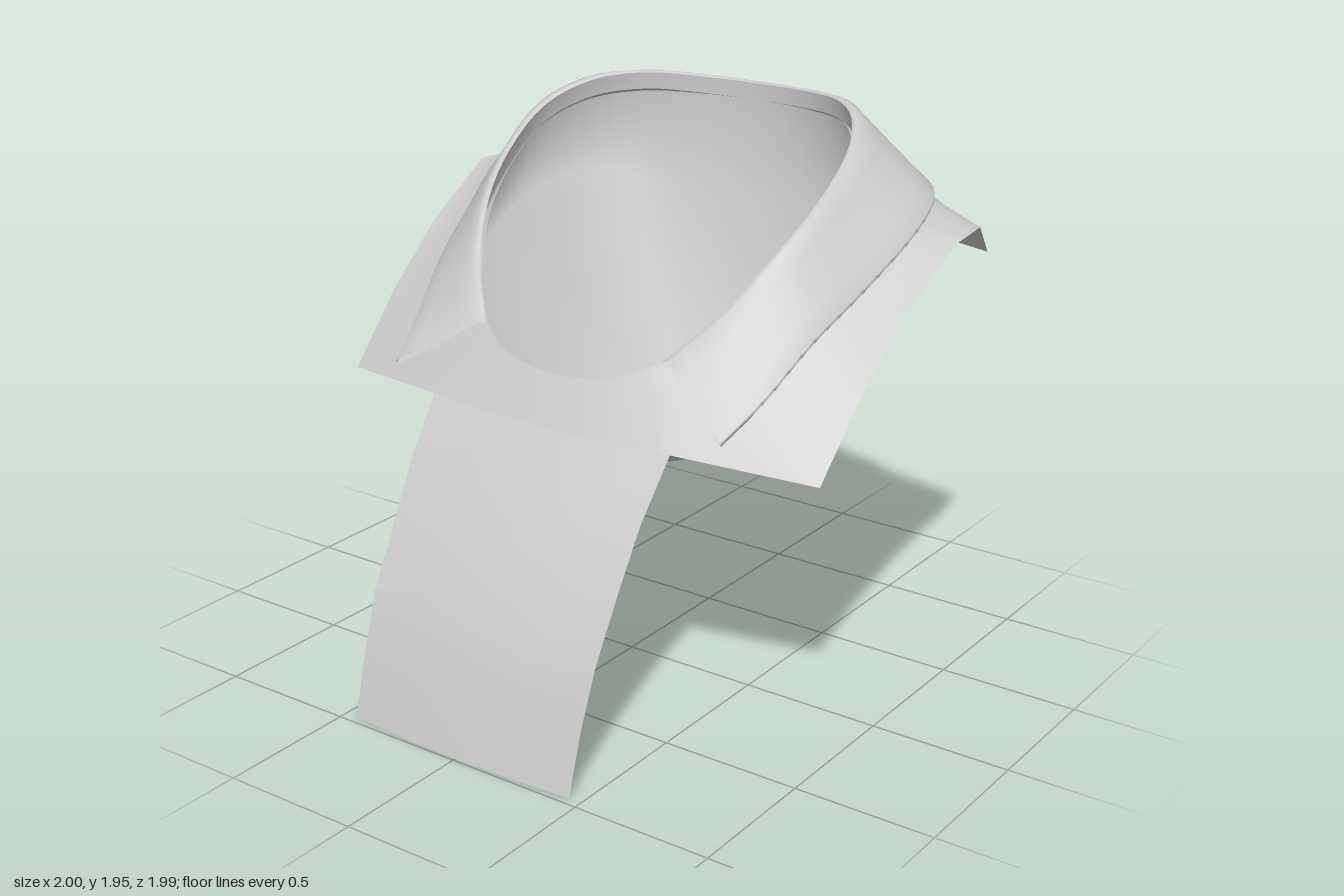
import * as THREE from 'three';

const V = (x, y, z) => new THREE.Vector3(x, y, z);
const vectors = list => list.map(p => V(...p));
const mix = (a, b, t, lift = 0) => a.clone().lerp(b, t).add(V(0, lift, 0));
const STEPS = 4; // subdivisions between stations

// Stations of the left half, from centre front to centre back:
// neck fold, lining ring below it, free collar edge, outer hem of the yoke
const fold = vectors([[0, 1.18, .43], [.2, 1.2, .41], [.36, 1.265, .34], [.49, 1.41, .21], [.59, 1.59, .04], [.635, 1.73, -.14],
  [.625, 1.86, -.34], [.54, 1.93, -.51], [.4, 1.95, -.65], [.2, 1.94, -.75], [0, 1.935, -.78]]);
const ring = vectors([[0, .88, .45], [.22, .9, .45], [.42, .98, .39], [.57, 1.14, .25], [.69, 1.33, .05], [.71, 1.43, -.14],
  [.71, 1.53, -.36], [.62, 1.56, -.55], [.45, 1.54, -.69], [.22, 1.525, -.76], [0, 1.52, -.78]]);
const edge = vectors([[.67, 1.1, .46], [.72, 1.2, .3], [.78, 1.36, .09], [.83, 1.48, -.12], [.875, 1.63, -.38],
  [.83, 1.7, -.58], [.66, 1.71, -.76], [.38, 1.69, -.88], [0, 1.66, -.93]]);
const hem = vectors([[0, 1.02, .515], [.25, 1.02, .505], [.49, 1.02, .475], [.965, .98, .345], [.975, 1.22, .12],
  [.985, 1.42, -.12], [1, 1.59, -.42], [.97, 1.59, -.65], [.88, 1.43, -.9], [.45, 1.45, -.985], [0, 1.46, -1]]);

const flip = p => V(-p.x, p.y, p.z);
// Mirror a half ring; a closed ring drops the doubled front point
const whole = (half, closed) => [...half, ...half.slice(closed ? 1 : 0, -1).reverse().map(flip)];

function smooth(points, closed) {
  const curve = new THREE.CatmullRomCurve3(points, closed, 'centripetal');
  const n = (closed ? points.length : points.length - 1) * STEPS;
  return Array.from({ length: closed ? n : n + 1 }, (_, i) => curve.getPoint(i / n));
}

function straight(points) {
  return points.flatMap((p, i) => Array.from({ length: STEPS },
    (_, k) => mix(p, points[(i + 1) % points.length], k / STEPS)));
}

// Skin a list of equally long rows of points, optionally fanned to a tip
function loft(name, rows, closed, material, tip) {
  const n = rows[0].length, index = [], points = rows.flat();
  const last = (rows.length - 1) * n;
  for (let i = 0; i < (closed ? n : n - 1); i++) {
    const j = (i + 1) % n;
    for (let r = 0; r < last; r += n) index.push(r + i, r + i + n, r + j, r + j, r + i + n, r + j + n);
    if (tip) index.push(last + i, points.length, last + j);
  }
  if (tip) points.push(tip);
  const geometry = new THREE.BufferGeometry().setFromPoints(points);
  geometry.setIndex(index);
  geometry.computeVertexNormals();
  const mesh = new THREE.Mesh(geometry, material);
  mesh.name = name;
  return mesh;
}

export function createModel() {
  const group = new THREE.Group();
  group.name = 'collarAndBib';
  const cloth = new THREE.MeshStandardMaterial({ color: 0xcccccc, side: THREE.DoubleSide });
  cloth.name = 'light grey cloth';

  // Neck lining: a wall from the fold to the ring, then a fan to one low point
  group.add(loft('neckLining', [smooth(whole(fold, true), true), smooth(whole(ring, true), true)],
    true, cloth, V(.03, .63, -.37)));

  // Folded collar: rolls over the fold, falls to its edge and turns under
  const top = smooth(whole(fold.slice(2), false), false);
  const rim = smooth(whole(edge, false), false);
  const section = [[0, 0], [.04, .018], [.13, .034], [.3, .026], [.55, .014], [.8, .005], [1, 0],
    [1, -.016], [.8, -.012], [.45, -.002], [.12, .01], [0, 0]];
  group.add(loft('collar', section.map(([t, lift]) => top.map((p, i) => mix(p, rim[i], t, lift))), false, cloth));

  // Yoke: from under the collar to the square outer hem
  const under = fold.map((p, i) => i < 3 ? mix(p, hem[i], .5) : mix(p, edge[i - 2], .9, -.045));
  const root = smooth(whole(fold.map((p, i) => mix(p, p, 0, i < 3 ? 0 : -.06)), true), true);
  group.add(loft('yoke', [root, smooth(whole(under, true), true), straight(whole(hem, true))], true, cloth));

  // Front panel: half width, height, depth of each row
  const drop = [[.49, 1.02, .515], [.478, .83, .635], [.47, .65, .735], [.465, .42, .86], [.457, .22, .93], [.453, .005, .99]];
  const columns = [-1, -.51, 0, .51, 1];
  group.add(loft('frontPanel', drop.map(([w, y, z], r) =>
    columns.map(c => V(c * w, y, z - (r ? .02 : .04) * c * c))), false, cloth));

  return group;
}
